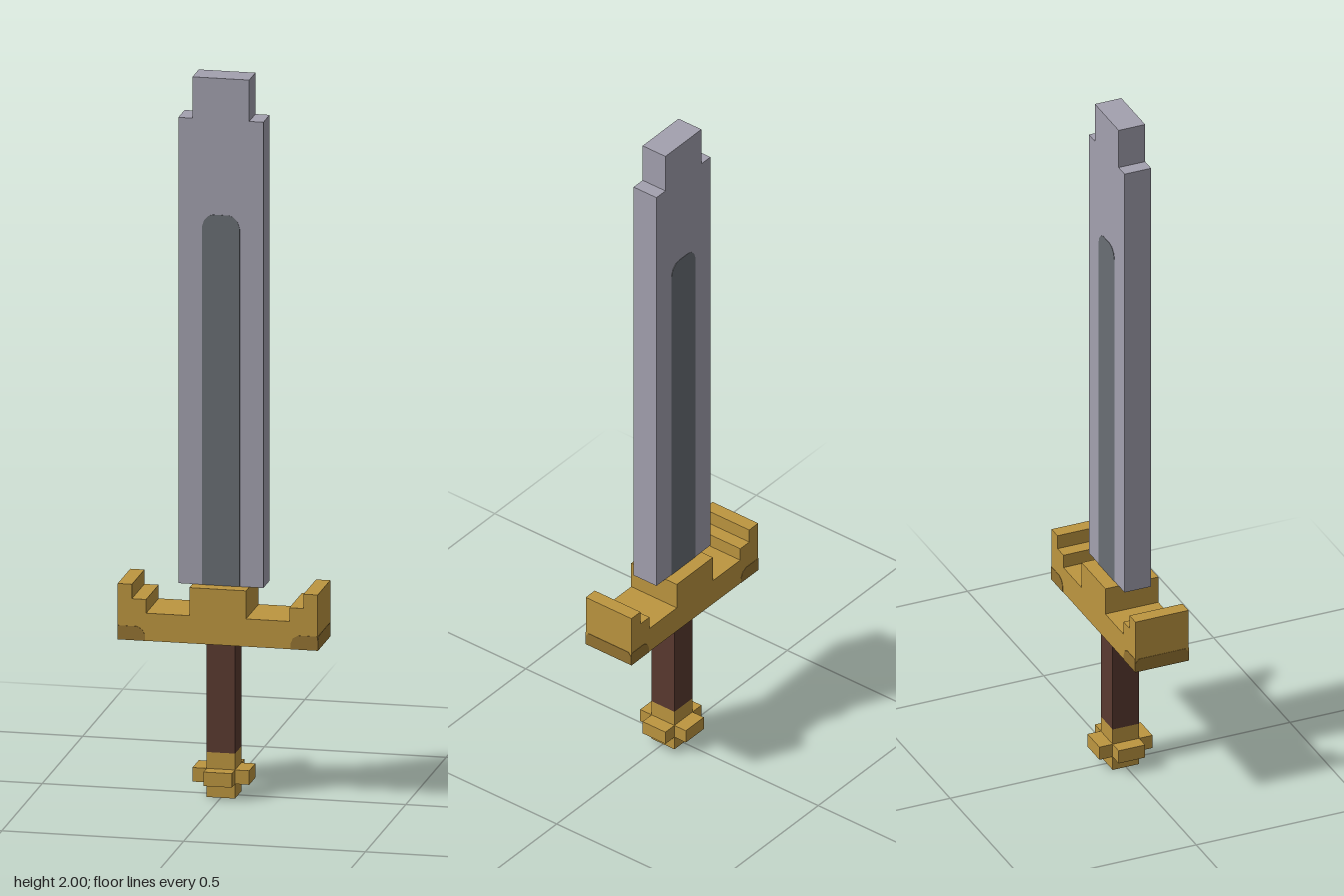
import * as THREE from 'three';

const mat = (name, color) => {
  const m = new THREE.MeshStandardMaterial({ color });
  m.name = name;
  return m;
};

// Symmetric outline from its right-hand points, bottom to top
function mirrored(points) {
  const left = points.map(([x, y]) => [-x, y]).reverse();
  return new THREE.Shape([...points, ...left].map(([x, y]) => new THREE.Vector2(x, y)));
}

function slab(shape, depth) {
  const g = new THREE.ExtrudeGeometry(shape, { depth, bevelEnabled: false });
  return g.translate(0, 0, -depth / 2);
}

export function createModel() {
  const model = new THREE.Group();
  model.name = 'sword';
  const steel = mat('steel', 0xa3a1af);
  const darkSteel = mat('dark steel', 0x696e74);
  const gold = mat('gold', 0xbd9640);
  const darkGold = mat('dark gold', 0x957432);
  const leather = mat('brown leather', 0x5a3a30);

  const add = (name, geometry, material, parent = model) => {
    const mesh = new THREE.Mesh(geometry, material);
    mesh.name = name;
    parent.add(mesh);
    return mesh;
  };
  const box = (name, w, y0, y1, d, material) =>
    add(name, new THREE.BoxGeometry(w, y1 - y0, d).translate(0, (y0 + y1) / 2, 0), material);

  // Blade with a stepped tip
  add('blade', slab(mirrored([
    [0.117, 0.59], [0.117, 1.885], [0.078, 1.885], [0.078, 2],
  ]), 0.078), steel);

  // Dark groove painted on both faces of the blade
  const groove = mirrored([
    [0.052, 0.59], [0.052, 1.585], [0.046, 1.604], [0.034, 1.616], [0.022, 1.62],
  ]);
  for (const s of [1, -1]) {
    add(s > 0 ? 'frontGroove' : 'backGroove', slab(groove, 0.002), darkSteel).position.z = s * 0.039;
  }

  // Cross guard with stepped ends and a raised middle
  add('guard', slab(mirrored([
    [0.275, 0.435], [0.275, 0.59], [0.236, 0.59], [0.236, 0.55],
    [0.197, 0.55], [0.197, 0.512], [0.078, 0.512], [0.078, 0.59],
  ]), 0.156), gold);

  // Dark patches wrapping the lower corners of the guard
  const endPatch = mirrored([[0.078, 0.435], [0.078, 0.462], [0.068, 0.474]]);
  for (const sx of [1, -1]) {
    const cornerPatch = new THREE.Shape([
      [0.275, 0.435], [0.275, 0.474], [0.222, 0.474], [0.207, 0.466], [0.2, 0.45], [0.2, 0.435],
    ].map(([x, y]) => new THREE.Vector2(sx * x, y)));
    for (const sz of [1, -1]) {
      add('guardCornerPatch', slab(cornerPatch, 0.002), darkGold).position.z = sz * 0.078;
    }
    const end = add('guardEndPatch', slab(endPatch, 0.002), darkGold);
    end.rotation.y = Math.PI / 2;
    end.position.x = sx * 0.275;
  }

  // Grip
  box('grip', 0.078, 0.125, 0.435, 0.078, leather);

  // Pommel with four short arms
  box('pommel', 0.078, 0, 0.125, 0.078, gold);
  for (let i = 0; i < 4; i++) {
    const arm = add('pommelArm', new THREE.BoxGeometry(0.039, 0.039, 0.078).translate(0.0585, 0.06, 0), gold);
    arm.rotation.y = i * Math.PI / 2;
  }
  return model;
}
